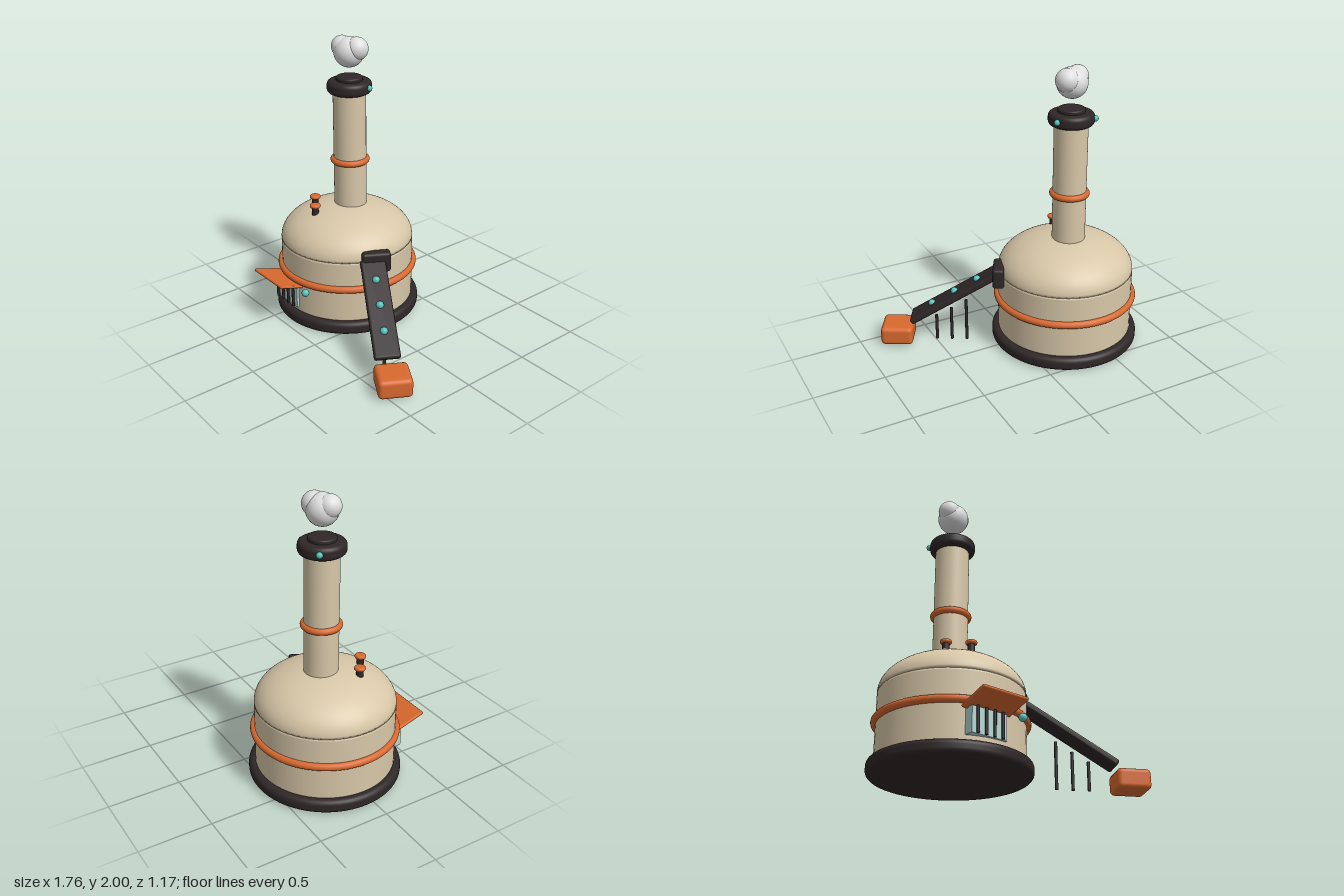
import * as THREE from 'three';
import { RoundedBoxGeometry } from 'three/addons/geometries/RoundedBoxGeometry.js';

const material = (name, color) => {
  const m = new THREE.MeshStandardMaterial({ color });
  m.name = name;
  return m;
};

// Solid disc or drum with rounded rims, standing on y = 0
function roundedDrum(radius, height, bevelBottom, bevelTop, segments = 64) {
  const pts = [new THREE.Vector2(0, 0)];
  const corner = (cy, r, start) => {
    for (let i = 0; i <= 8; i++) {
      const a = start + (i / 8) * (Math.PI / 2);
      pts.push(new THREE.Vector2(radius - r + r * Math.cos(a), cy + r * Math.sin(a)));
    }
  };
  corner(bevelBottom, bevelBottom, -Math.PI / 2);
  corner(height - bevelTop, bevelTop, 0);
  pts.push(new THREE.Vector2(0, height));
  return new THREE.LatheGeometry(pts, segments);
}

export function createModel() {
  const cream = material('cream enamel', 0xd8c7a8);
  const dark = material('dark iron', 0x2f2728);
  const orange = material('orange trim', 0xd9692f);
  const teal = material('teal stud', 0x56c2bd);
  const glass = material('pale glass', 0xb4d8d4);
  const white = material('white smoke', 0xdedede);

  const model = new THREE.Group();
  const add = (parent, name, geometry, mat, x, y, z) => {
    const mesh = new THREE.Mesh(geometry, mat);
    mesh.name = name;
    mesh.position.set(x, y, z);
    parent.add(mesh);
    return mesh;
  };
  const stud = (parent, name, r, x, y, z) =>
    add(parent, name, new THREE.SphereGeometry(r, 20, 14), teal, x, y, z);
  const ring = (parent, name, r, tube, x, y, z) => {
    add(parent, name, new THREE.TorusGeometry(r, tube, 14, 72), orange, x, y, z).rotation.x = Math.PI / 2;
  };

  // Round furnace: base, drum, dome and belt
  const cx = -0.36, cz = -0.065;
  const furnace = new THREE.Group();
  furnace.name = 'furnace';
  model.add(furnace);
  add(furnace, 'base', roundedDrum(0.52, 0.095, 0.035, 0.035), dark, cx, 0, cz);
  add(furnace, 'drum', roundedDrum(0.475, 0.465, 0.02, 0.02), cream, cx, 0.085, cz);
  const domeProfile = [new THREE.Vector2(0, 0)];
  for (let i = 0; i <= 24; i++) {
    const a = (i / 24) * (Math.PI / 2);
    domeProfile.push(new THREE.Vector2(0.475 * Math.cos(a), 0.255 * Math.sin(a)));
  }
  add(furnace, 'dome', new THREE.LatheGeometry(domeProfile, 64), cream, cx, 0.547, cz);
  ring(furnace, 'belt', 0.48, 0.025, cx, 0.345, cz);

  // Chimney with collar, cap and studs
  const chimney = new THREE.Group();
  chimney.name = 'chimney';
  chimney.position.set(cx, 0, -0.1);
  model.add(chimney);
  add(chimney, 'flue', roundedDrum(0.115, 0.91, 0.01, 0.015, 48), cream, 0, 0.71, 0);
  ring(chimney, 'collar', 0.115, 0.023, 0, 1.123, 0);
  add(chimney, 'cap', roundedDrum(0.155, 0.09, 0.032, 0.032, 48), dark, 0, 1.61, 0);
  add(chimney, 'capLid', roundedDrum(0.092, 0.04, 0.008, 0.01, 48), dark, 0, 1.685, 0);
  stud(chimney, 'capStudLeft', 0.021, 0.143, 1.66, -0.06);
  stud(chimney, 'capStudRight', 0.021, -0.125, 1.66, -0.098);

  // Puffs of smoke
  for (const [r, x, y, z] of [[0.105, 0, 1.893, 0], [0.075, -0.05, 1.925, 0.02], [0.08, 0.052, 1.92, -0.025]]) {
    add(chimney, 'smokePuff', new THREE.SphereGeometry(r, 32, 20), white, x, y, z);
  }

  // Knobs on the dome
  for (const [x, z] of [[-0.53, 0.09], [-0.4, 0.183]]) {
    add(model, 'knobStem', new THREE.CylinderGeometry(0.024, 0.024, 0.09, 20), dark, x, 0.772, z);
    add(model, 'knobCap', roundedDrum(0.038, 0.026, 0.012, 0.01, 28), orange, x, 0.809, z);
  }

  // Barred window under a tilted awning
  add(model, 'window', new THREE.BoxGeometry(0.26, 0.165, 0.1), glass, -0.44, 0.21, 0.375);
  for (let i = 0; i < 4; i++) {
    add(model, 'windowBar', new THREE.CylinderGeometry(0.01, 0.01, 0.165, 12), dark, -0.533 + i * 0.062, 0.212, 0.434);
  }
  add(model, 'awning', new RoundedBoxGeometry(0.34, 0.02, 0.22, 3, 0.008), orange, -0.44, 0.325, 0.475)
    .rotation.x = -0.31;
  stud(model, 'drumStud', 0.027, -0.193, 0.3, 0.432);

  // Sloping chute, built along local +x and turned towards the front
  const chute = new THREE.Group();
  chute.name = 'chute';
  chute.position.set(0.37, 0, 0.225);
  chute.rotation.y = -Math.PI / 6;
  model.add(chute);
  const slope = -0.555;
  const board = new THREE.Group();
  board.name = 'board';
  board.position.set(0, 0.363, 0);
  board.rotation.z = slope;
  chute.add(board);
  add(board, 'slide', new RoundedBoxGeometry(0.73, 0.045, 0.175, 3, 0.015), dark, 0, 0, 0);
  for (let i = -1; i <= 1; i++) {
    stud(board, 'slideStud', 0.026, -0.012 + i * 0.19, 0.024, 0);
  }
  add(chute, 'mouth', new RoundedBoxGeometry(0.08, 0.145, 0.2, 3, 0.02), dark, -0.315, 0.547, -0.025);

  // Thin props beneath the slide
  [0.32, 0.255, 0.195].forEach((h, i) => {
    add(chute, 'prop', new THREE.CylinderGeometry(0.011, 0.011, h, 12), dark, -0.08 + i * 0.107, h / 2 + 0.002, -0.008);
  });

  // Collecting bin at the foot of the slide
  add(model, 'bin', new RoundedBoxGeometry(0.225, 0.135, 0.225, 4, 0.03), orange, 0.735, 0.075, 0.415)
    .rotation.y = -Math.PI / 6;

  return model;
}
